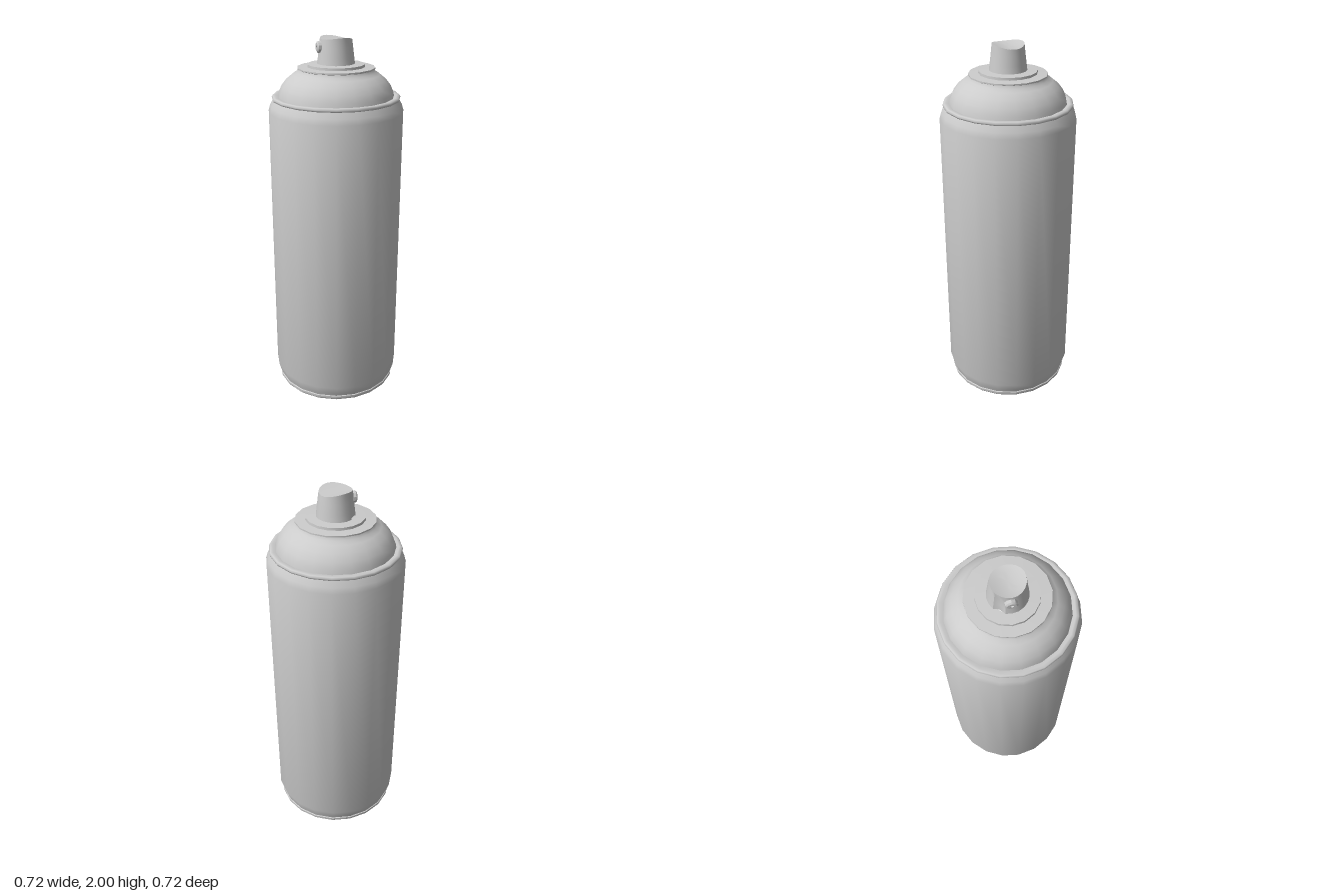
import * as THREE from 'three';
import { toCreasedNormals } from 'three/addons/utils/BufferGeometryUtils.js';

const material = new THREE.MeshStandardMaterial({ color: 0xcccccc });

// Turned part: profile of [radius, height] pairs listed bottom to top
function turned(name, profile, sides, crease = 0.7, reshape) {
  const points = profile.map(([r, y]) => new THREE.Vector2(r, y));
  const geometry = new THREE.LatheGeometry(points, sides);
  if (reshape) {
    const pos = geometry.attributes.position;
    const v = new THREE.Vector3();
    for (let i = 0; i < pos.count; i++) {
      v.fromBufferAttribute(pos, i);
      reshape(v);
      pos.setXYZ(i, v.x, v.y, v.z);
    }
  }
  const mesh = new THREE.Mesh(toCreasedNormals(geometry, crease), material);
  mesh.name = name;
  return mesh;
}

export function createModel() {
  const group = new THREE.Group();
  group.name = 'sprayCan';

  // Can wall with tapered ends, and the base with its thin seam
  group.add(turned('body', [
    [0.338, 0.025], [0.345, 0.045], [0.359, 0.09], [0.359, 1.62],
    [0.35, 1.65], [0.332, 1.682],
  ], 20, 0.8));
  group.add(turned('base', [
    [0, 0.004], [0.325, 0.004], [0.335, 0], [0.343, 0.01], [0.343, 0.024], [0.334, 0.03],
  ], 20));

  // Rolled rim where the shoulder joins the wall
  group.add(turned('rim', [
    [0.328, 1.678], [0.338, 1.682], [0.341, 1.69], [0.336, 1.699], [0.322, 1.7], [0.3, 1.694],
  ], 20, 1.2));

  // Domed shoulder
  group.add(turned('shoulder', [
    [0.308, 1.69], [0.303, 1.715], [0.288, 1.75], [0.262, 1.784],
    [0.23, 1.81], [0.206, 1.823], [0.199, 1.838],
  ], 20, 0.8));

  // Stepped valve cup
  group.add(turned('valveCup', [
    [0.199, 1.836], [0.205, 1.839], [0.205, 1.846], [0.152, 1.849],
    [0.151, 1.862], [0.09, 1.865],
  ], 16, 0.6));

  // Tapered push button with a finger trough along x and a notch beside the nozzle
  group.add(turned('button', [
    [0.099, 1.86], [0.094, 1.9], [0.088, 1.95], [0.083, 1.99],
    [0.06, 1.99], [0.03, 1.99], [0, 1.99],
  ], 20, 0.8, (v) => {
    const angle = Math.atan2(v.z, v.x);
    if (v.y > 1.98) {
      v.y = 1.986 + 2 * v.z * v.z - 0.05 * v.x;
      v.y = Math.min(v.y, 2);
    } else if (Math.abs(angle + 2.2) < 0.2) {
      v.x *= 0.84;
      v.z *= 0.84;
    }
  }));

  // Round spray nozzle on the side of the button
  const direction = new THREE.Vector3(-0.94, 0, -0.34).normalize();
  const nozzle = turned('nozzle', [
    [0.03, -0.02], [0.03, 0.011], [0.022, 0.017], [0.009, 0.017], [0.008, 0.01], [0, 0.01],
  ], 10, 0.6);
  nozzle.quaternion.setFromUnitVectors(new THREE.Vector3(0, 1, 0), direction);
  nozzle.position.copy(direction).multiplyScalar(0.087).setY(1.95);
  group.add(nozzle);

  return group;
}
